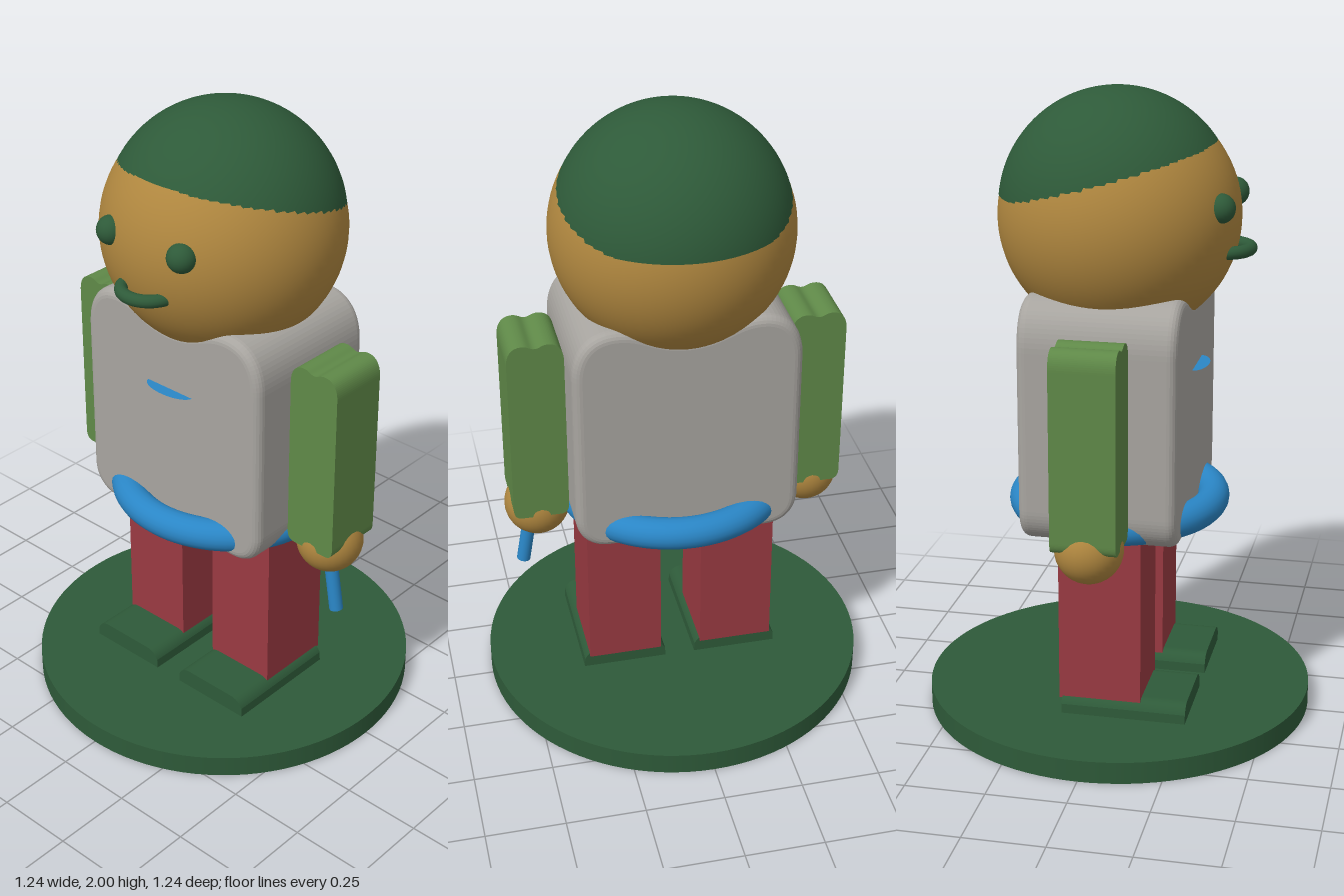
import * as THREE from 'three';

const mat = (name, color) => {
  const m = new THREE.MeshStandardMaterial({ color, side: THREE.DoubleSide });
  m.name = name;
  return m;
};

export function createModel() {
  const green = mat('dark green', 0x2e5a39);
  const skin = mat('tan', 0xb0873f);
  const grey = mat('warm grey', 0xa8a5a0);
  const sleeve = mat('leaf green', 0x5f8948);
  const red = mat('brick red', 0x9a3a42);
  const blue = mat('blue', 0x2a86c6);

  const model = new THREE.Group();
  const add = (name, geometry, material, x = 0, y = 0, z = 0) => {
    const mesh = new THREE.Mesh(geometry, material);
    mesh.name = name;
    mesh.position.set(x, y, z);
    model.add(mesh);
    return mesh;
  };
  // Extrusion centred on z, with an optional rounded rim
  const slab = (shape, depth, bevel = 0) => {
    const g = new THREE.ExtrudeGeometry(shape, {
      depth: depth - 2 * bevel, curveSegments: 16, bevelEnabled: bevel > 0,
      bevelThickness: bevel, bevelSize: bevel, bevelOffset: -bevel, bevelSegments: 5,
    });
    return g.translate(0, 0, -depth / 2 + bevel);
  };

  // Round base
  add('base', new THREE.CylinderGeometry(0.62, 0.62, 0.07, 96), green, 0, 0.035, 0);

  // Torso: two rounded shoulders with a dip for the head
  const t = new THREE.Shape();
  t.moveTo(-0.25, 0.64);
  t.lineTo(0.25, 0.64);
  t.bezierCurveTo(0.315, 0.64, 0.355, 0.685, 0.355, 0.75);
  t.lineTo(0.355, 1.25);
  t.bezierCurveTo(0.355, 1.34, 0.31, 1.405, 0.22, 1.405);
  t.bezierCurveTo(0.13, 1.405, 0.1, 1.353, 0, 1.353);
  t.bezierCurveTo(-0.1, 1.353, -0.13, 1.405, -0.22, 1.405);
  t.bezierCurveTo(-0.31, 1.405, -0.355, 1.34, -0.355, 1.25);
  t.lineTo(-0.355, 0.75);
  t.bezierCurveTo(-0.355, 0.685, -0.315, 0.64, -0.25, 0.64);
  add('torso', slab(t, 0.49, 0.03), grey);

  // Belt ring, slightly wider than deep
  const belt = new THREE.TorusGeometry(0.3, 0.05, 20, 80);
  belt.rotateX(Math.PI / 2).scale(1.07, 1, 1);
  add('belt', belt, blue, 0, 0.7, 0);

  // Thin flat ledge on the chest
  const ledge = new THREE.CircleGeometry(1, 24, Math.PI, Math.PI);
  ledge.scale(0.09, 0.04, 1).rotateX(-Math.PI / 2);
  add('chestLedge', ledge, blue, 0, 1.15, 0.244);

  // Head and tilted cap
  add('head', new THREE.SphereGeometry(0.374, 64, 48), skin, 0, 1.61, 0);
  add('cap', new THREE.SphereGeometry(0.365, 64, 32, 0, Math.PI * 2, 0, 1.458), green, 0, 1.635, -0.007);

  // Mouth: half ring curving forward
  const mouth = new THREE.TorusGeometry(0.085, 0.02, 14, 32, Math.PI);
  mouth.rotateX(Math.PI / 2);
  add('mouth', mouth, green, 0, 1.52, 0.32);

  // Arm outline with a double-rounded top
  const a = new THREE.Shape();
  a.moveTo(-0.06, 0.69);
  a.lineTo(0.06, 0.69);
  a.quadraticCurveTo(0.088, 0.69, 0.088, 0.725);
  a.lineTo(0.088, 1.25);
  a.bezierCurveTo(0.088, 1.29, 0.07, 1.312, 0.04, 1.312);
  a.bezierCurveTo(0.02, 1.312, 0.015, 1.301, 0, 1.301);
  a.bezierCurveTo(-0.015, 1.301, -0.02, 1.312, -0.04, 1.312);
  a.bezierCurveTo(-0.07, 1.312, -0.088, 1.29, -0.088, 1.25);
  a.lineTo(-0.088, 0.725);
  a.quadraticCurveTo(-0.088, 0.69, -0.06, 0.69);

  // Foot outline with sloping top corners
  const f = new THREE.Shape();
  f.moveTo(-0.138, 0.065);
  f.lineTo(0.138, 0.065);
  f.lineTo(0.136, 0.1);
  f.quadraticCurveTo(0.122, 0.13, 0.09, 0.13);
  f.lineTo(-0.09, 0.13);
  f.quadraticCurveTo(-0.122, 0.13, -0.136, 0.1);

  for (const [side, s] of [['left', 1], ['right', -1]]) {
    add(side + 'Eye', new THREE.SphereGeometry(0.045, 24, 16), green, s * 0.14, 1.667, 0.333);
    add(side + 'Arm', slab(a, 0.2), sleeve, s * 0.443, 0, 0);
    add(side + 'Hand', new THREE.SphereGeometry(0.105, 32, 24), skin, s * 0.443, 0.682, 0);
    add(side + 'Leg', new THREE.BoxGeometry(0.24, 0.565, 0.26), red, s * 0.187, 0.3975, 0);
    add(side + 'Foot', slab(f, 0.395), green, s * 0.187, 0, 0.0775);
  }

  // Short stick held in the left hand
  const stick = add('stick', new THREE.CylinderGeometry(0.022, 0.022, 0.24, 20), blue, 0.474, 0.566, 0.02);
  stick.rotation.z = 0.165;

  return model;
}
